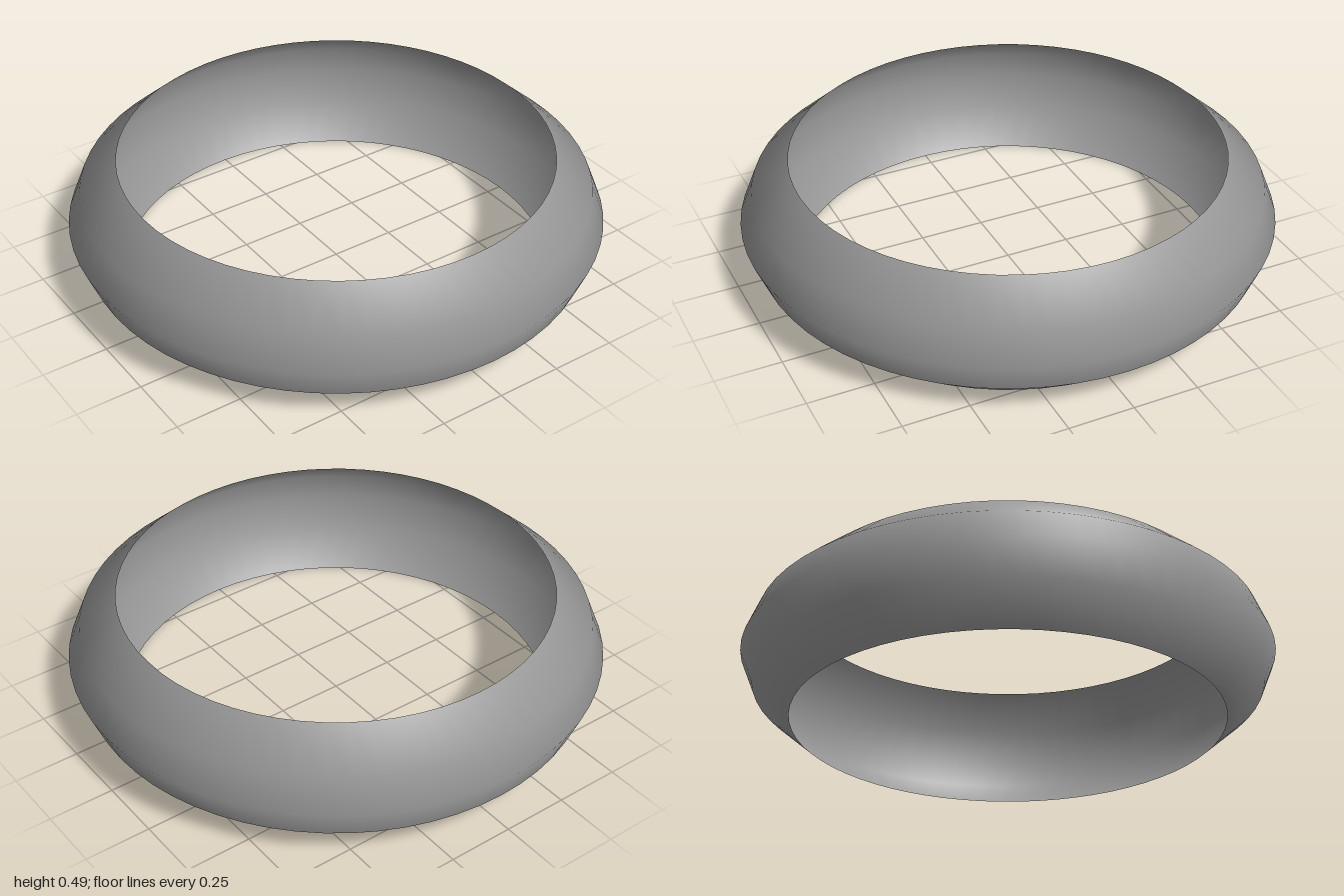
import * as THREE from 'three';

export function createModel() {
  const group = new THREE.Group();
  group.name = 'ring';

  // Open bowed band: the middle 72 degrees of a sphere, flattened so its
  // rows are evenly spaced in height; the sphere's soft normals are kept
  const halfAngle = Math.PI / 5;
  const halfHeight = 0.244;
  const geometry = new THREE.SphereGeometry(
    1, 64, 4, 0, Math.PI * 2, Math.PI / 2 - halfAngle, halfAngle * 2
  );
  const position = geometry.attributes.position;
  for (let i = 0; i < position.count; i++) {
    const latitude = Math.asin(position.getY(i));
    position.setY(i, halfHeight * (1 + latitude / halfAngle));
  }

  const band = new THREE.Mesh(
    geometry,
    new THREE.MeshStandardMaterial({ color: 0x999999, side: THREE.DoubleSide })
  );
  band.name = 'band';
  group.add(band);
  return group;
}
